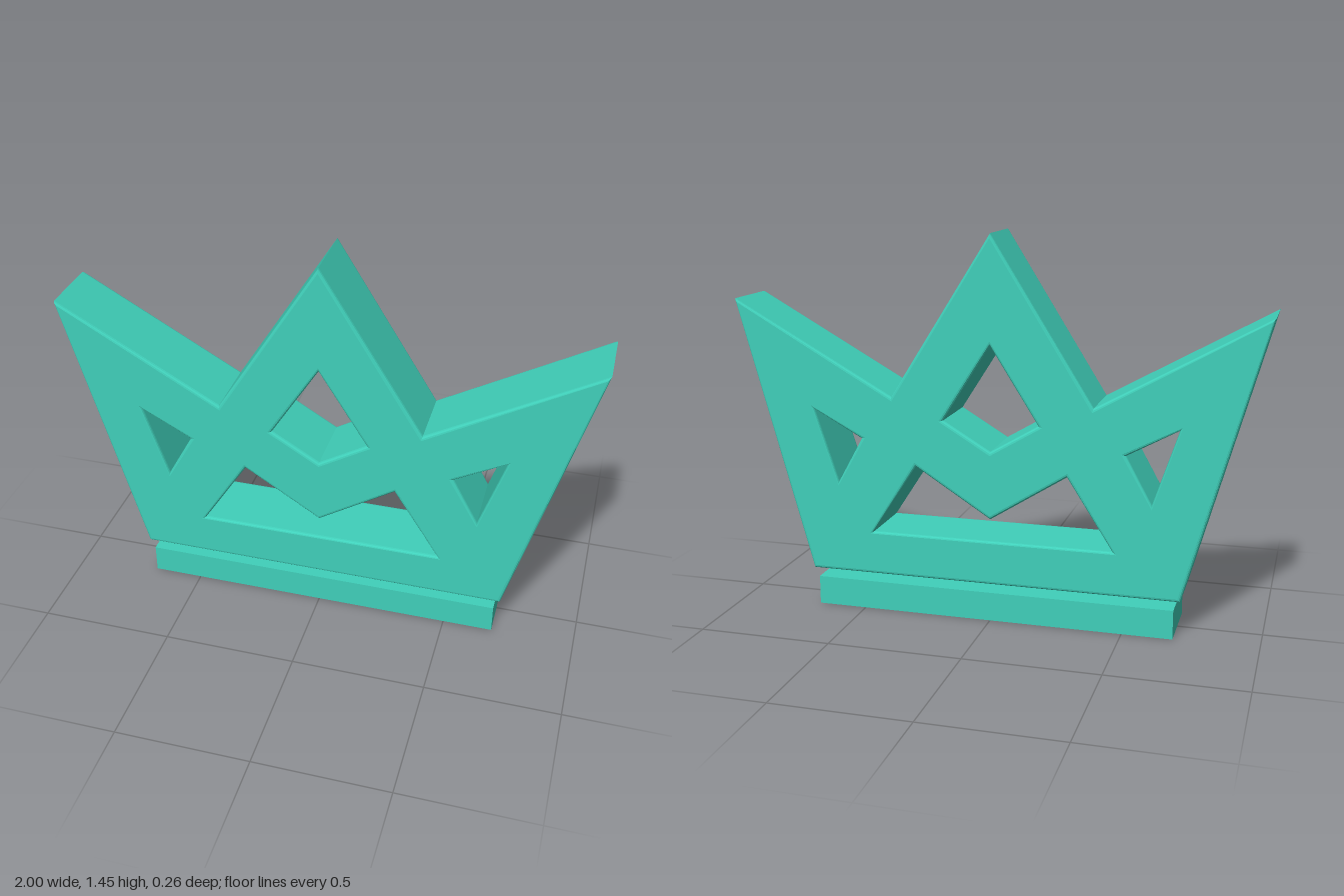
import * as THREE from 'three';

const DEPTH = 0.264;
const BEVEL = 0.012;

// Mirrors a half outline (bottom centre side to top, +x) into a closed loop.
// Points on the centre line are kept once.
function symmetric(half) {
  const mirrored = half.filter(([x]) => x > 0).map(([x, y]) => [-x, y]).reverse();
  return [...half, ...mirrored].map(([x, y]) => new THREE.Vector2(x, y));
}

const toPoints = (list) => list.map(([x, y]) => new THREE.Vector2(x, y));

export function createModel() {
  const group = new THREE.Group();
  const material = new THREE.MeshStandardMaterial({ color: 0x40d0ba });

  // Three-pointed crown outline
  const outline = new THREE.Shape(symmetric([
    [0.71, 0.142], [1, 1.183], [0.382, 0.838], [0, 1.446],
  ]));

  // Central kite, lower chevron and two side triangles
  const sideHole = [[0.69, 0.775], [0.502, 0.672], [0.598, 0.498]];
  const holes = [
    symmetric([[0, 0.653], [0.18, 0.76], [0, 1.045]]),
    symmetric([[0.46, 0.31], [0.288, 0.577], [0, 0.395]]),
    toPoints(sideHole),
    toPoints(sideHole.map(([x, y]) => [-x, y])),
  ];
  outline.holes = holes.map((points) => new THREE.Path(points));

  // Crown body with softened edges
  const bodyGeometry = new THREE.ExtrudeGeometry(outline, {
    depth: DEPTH - 2 * BEVEL,
    bevelEnabled: true,
    bevelThickness: BEVEL,
    bevelSize: BEVEL,
    bevelOffset: -BEVEL,
    bevelSegments: 3,
  });
  bodyGeometry.translate(0, 0, -DEPTH / 2 + BEVEL);
  const crown = new THREE.Mesh(bodyGeometry, material);
  crown.name = 'crownBody';

  // Separate bar beneath the crown
  const bar = new THREE.Mesh(new THREE.BoxGeometry(1.376, 0.11, DEPTH), material);
  bar.position.y = 0.055;
  bar.name = 'baseBar';

  group.add(crown, bar);
  return group;
}
